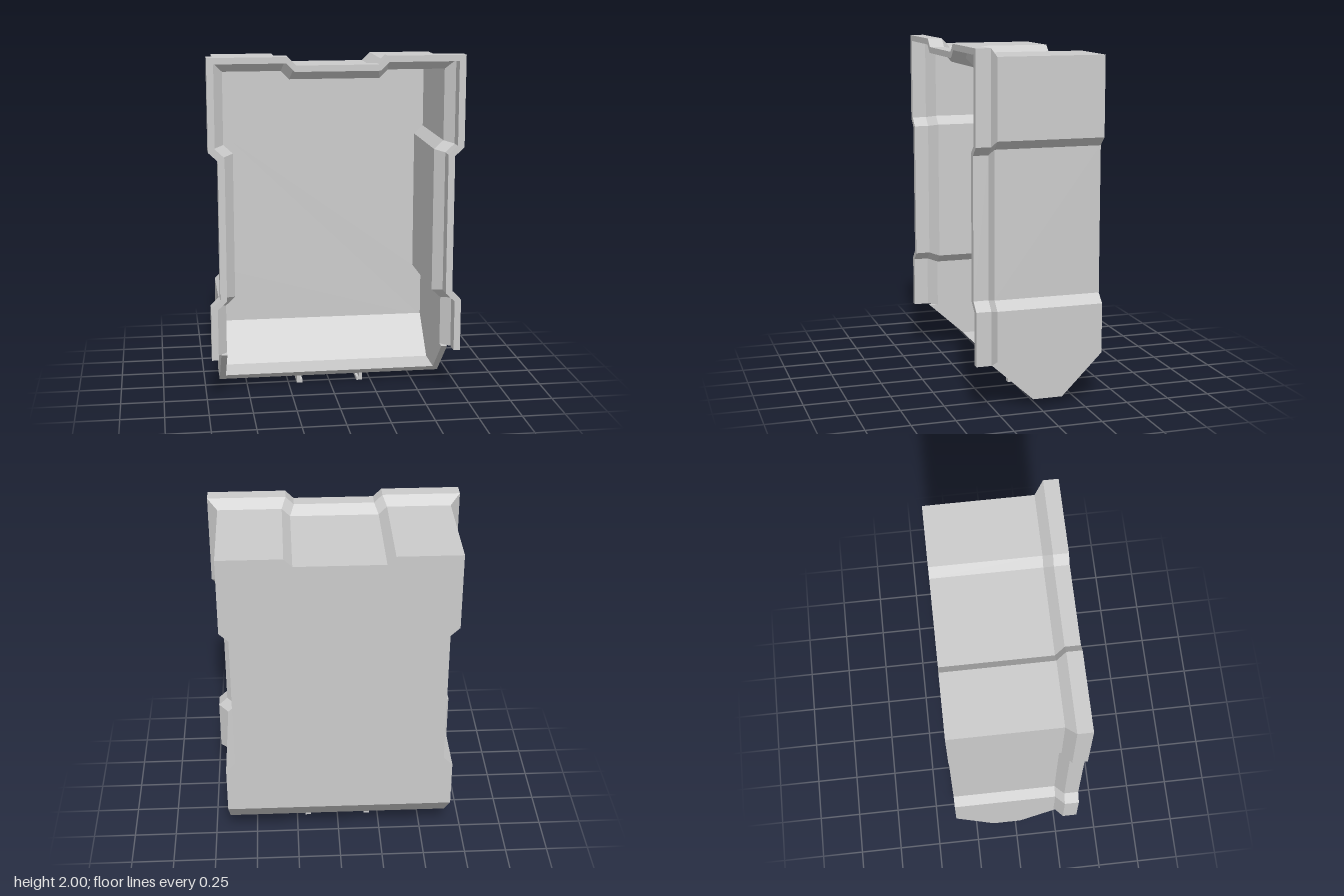
import * as THREE from 'three';

const material = new THREE.MeshStandardMaterial({ color: 0xcccccc, flatShading: true });
const BASE = 0.28; // height where the straight walls end and the tapered base begins

// Upside-down U outline with waisted sides and a notched top, from +x foot to -x foot.
function outline(w, top, shift, notch) {
  const half = [
    [w, BASE], [w, 0.585 - shift], [w - 0.053, 0.635 - shift],
    [w - 0.053, 1.43 + shift], [w, 1.48 + shift],
    [w, top], [notch, top], [notch - 0.047, top - 0.047],
  ];
  return [...half, ...half.map(([x, y]) => [-x, y]).reverse()];
}

// Sweep a closed wall section (outer rings, then inner rings) around the outline.
function wallGeometry(rings) {
  const pos = [];
  const n = rings.length;
  const count = rings[0].points.length;
  const at = (j, i) => [...rings[j % n].points[i], rings[j % n].z];
  const quad = (a, b, c, d) => pos.push(...a, ...b, ...c, ...a, ...c, ...d);
  for (let j = 0; j < n; j++) {
    for (let i = 0; i < count - 1; i++) {
      quad(at(j, i), at(j + 1, i), at(j + 1, i + 1), at(j, i + 1));
    }
  }
  // Caps on the two feet
  for (let k = 0; k < n / 2 - 1; k++) {
    const corners = [k, k + 1, n - 2 - k, n - 1 - k];
    quad(...corners.map((j) => at(j, 0)).reverse());
    quad(...corners.map((j) => at(j, count - 1)));
  }
  const g = new THREE.BufferGeometry();
  g.setAttribute('position', new THREE.Float32BufferAttribute(pos, 3));
  g.computeVertexNormals();
  return g;
}

function extrude(points, depth) {
  const shape = new THREE.Shape(points.map(([x, y]) => new THREE.Vector2(x, y)));
  return new THREE.ExtrudeGeometry(shape, { depth, bevelEnabled: false });
}

// Extrude a (z, y) profile along x, centred on cx.
function extrudeAcross(points, width, cx = 0) {
  return extrude(points, width).rotateY(-Math.PI / 2).translate(cx + width / 2, 0, 0);
}

export function createModel() {
  const group = new THREE.Group();
  const add = (name, geometry) => {
    const mesh = new THREE.Mesh(geometry, material);
    mesh.name = name;
    group.add(mesh);
  };

  // Walls with the flared rim at the open front
  const rimOuter = outline(0.722, 2.0, 0, 0.277);
  const rimInner = outline(0.684, 1.965, 0.008, 0.287);
  const bodyOuter = outline(0.665, 1.95, 0.02, 0.3);
  const bodyInner = outline(0.63, 1.91, 0.02, 0.303);
  add('wallsAndRim', wallGeometry([
    { points: rimOuter, z: 0.375 },
    { points: rimOuter, z: 0.29 },
    { points: bodyOuter, z: 0.238 },
    { points: bodyOuter, z: -0.375 },
    { points: bodyInner, z: -0.375 },
    { points: bodyInner, z: 0.238 },
    { points: rimInner, z: 0.29 },
    { points: rimInner, z: 0.375 },
  ]));

  // Back panel
  add('backPanel', extrude(bodyInner, 0.035).translate(0, 0, -0.375));

  // Tapered base: two cheeks joined by a floor and a sloping back
  for (const side of [1, -1]) {
    add(side > 0 ? 'leftCheek' : 'rightCheek', extrudeAcross(
      [[0.29, BASE], [-0.375, BASE], [-0.14, 0.045], [0.03, 0.045]], 0.035, side * 0.6475));
  }
  add('floorAndBackSlope', extrudeAcross([
    [0.03, 0.045], [0.07, 0.081], [-0.125, 0.081], [-0.34, 0.296],
    [-0.375, 0.296], [-0.375, BASE], [-0.14, 0.045],
  ], 1.26));

  // Small hooked rails under the floor
  const hook = [[0.2, 0.045], [0.18, 0.045], [0.18, 0.02], [0.165, 0.02], [0.165, 0], [0.2, 0]];
  for (const side of [1, -1]) {
    add(side > 0 ? 'leftRail' : 'rightRail',
      extrude(hook.map(([x, y]) => [side * x, y]), 0.13).translate(0, 0, -0.1));
  }
  return group;
}
